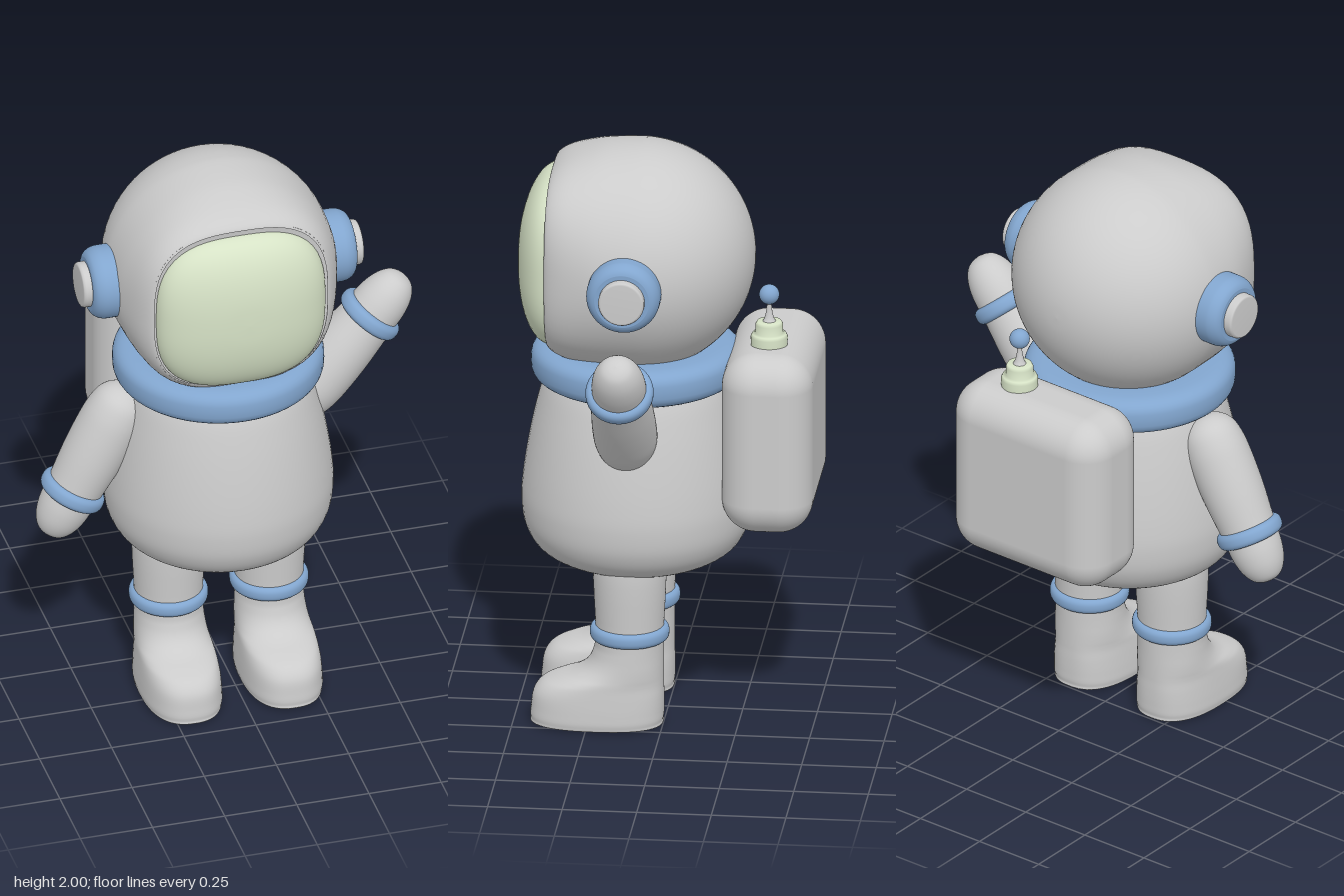
import * as THREE from 'three';
import { RoundedBoxGeometry } from 'three/addons/geometries/RoundedBoxGeometry.js';

const CX = -0.02, CZ = 0.107; // axis of the figure

const grey = new THREE.MeshStandardMaterial({ color: 0xcccccc });
const blue = new THREE.MeshStandardMaterial({ color: 0x82a6cf });
const green = new THREE.MeshStandardMaterial({ color: 0xd6e2c6 });

function mesh(name, geometry, material, parent, x = 0, y = 0, z = 0) {
  const m = new THREE.Mesh(geometry, material);
  m.name = name;
  m.position.set(x, y, z);
  parent.add(m);
  return m;
}

// Turned shape from [radius, height] pairs, bottom to top, smoothed by a spline
function turned(pairs, smooth = 48, around = 64) {
  let pts = pairs.map(([r, y]) => new THREE.Vector2(r, y));
  if (smooth) pts = new THREE.SplineCurve(pts).getPoints(smooth);
  pts.forEach((p) => { p.x = Math.max(p.x, 0); });
  return new THREE.LatheGeometry(pts, around);
}

// Ring with a rounded cross-section, lying flat
function ring(outer, halfWidth, halfHeight, power = 0.8) {
  const pts = [];
  for (let i = 0; i <= 32; i++) {
    const t = (i / 32) * Math.PI * 2 - Math.PI;
    const c = Math.cos(t), s = Math.sin(t);
    pts.push(new THREE.Vector2(
      outer - halfWidth + halfWidth * Math.sign(c) * Math.abs(c) ** power,
      halfHeight * Math.sign(s) * Math.abs(s) ** power));
  }
  return new THREE.LatheGeometry(pts, 64);
}

// Skin over superellipse sections [height, halfX, halfZ, centreZ, exponent]
function loft(rows, steps = 5, around = 64) {
  const pos = [], index = [];
  const count = (rows.length - 1) * steps;
  const at = (i) => rows[Math.min(Math.max(i, 0), rows.length - 1)];
  for (let k = 0; k <= count; k++) {
    const i = Math.min(Math.floor(k / steps), rows.length - 2), t = k / steps - i;
    const [h, a, b, c, n] = rows[0].map((_, d) => {
      const [p, q, r, s] = [at(i - 1)[d], at(i)[d], at(i + 1)[d], at(i + 2)[d]];
      const m0 = (r - p) / 2, m1 = (s - q) / 2;
      return q + t * (m0 + t * (3 * (r - q) - 2 * m0 - m1 + t * (2 * (q - r) + m0 + m1)));
    });
    for (let j = 0; j < around; j++) {
      const u = (j / around) * Math.PI * 2, x = Math.cos(u), z = Math.sin(u);
      const f = (Math.abs(x) ** n + Math.abs(z) ** n) ** (-1 / n);
      pos.push(Math.max(a, 0) * x * f, h, c + Math.max(b, 0) * z * f);
    }
  }
  for (let k = 0; k < count; k++) {
    for (let j = 0; j < around; j++) {
      const p = k * around + j, q = k * around + (j + 1) % around;
      index.push(p, p + around, q, q, p + around, q + around);
    }
  }
  const g = new THREE.BufferGeometry();
  g.setAttribute('position', new THREE.Float32BufferAttribute(pos, 3));
  g.setIndex(index);
  g.computeVertexNormals();
  return g;
}

function addHelmet(root) {
  const helmet = new THREE.Group();
  helmet.name = 'helmet';
  helmet.position.set(CX, 1.61, 0);
  root.add(helmet);

  // Shell: round at the back, squarer towards the face opening
  const shell = [];
  for (let i = 0; i <= 12; i++) {
    const t = (i / 12) * Math.PI / 2, r = 0.39 * Math.sin(t);
    shell.push([0.1 - 0.39 * Math.cos(t), r, r, 0, 2]);
  }
  for (const [z, r, n] of [[0.2, 0.382, 2.1], [0.27, 0.366, 2.3], [0.33, 0.345, 2.55],
    [0.37, 0.322, 2.75], [0.388, 0.3, 2.9], [0.38, 0.28, 2.9], [0.37, 0, 2.9]]) {
    shell.push([z, r, r, 0, n]);
  }
  mesh('helmetShell', loft(shell).rotateX(Math.PI / 2), grey, helmet);

  // Bulging face glass
  const glass = [[0.36, 0.28, 0.278, 0, 2.9]];
  for (let i = 0; i <= 8; i++) {
    const t = (i / 8) * Math.PI / 2, r = Math.cos(t) ** 0.85;
    glass.push([0.38 + 0.12 * Math.sin(t), 0.292 * r, 0.288 * r, 0, 2.9 - 0.7 * i / 8]);
  }
  mesh('visor', loft(glass).rotateX(Math.PI / 2), green, helmet, 0, -0.01, 0);

  // Ear pieces
  for (const side of [-1, 1]) {
    const ear = new THREE.Group();
    ear.name = side > 0 ? 'leftEarpiece' : 'rightEarpiece';
    ear.position.set(0, -0.005, 0.11);
    ear.rotation.z = -side * Math.PI / 2;
    helmet.add(ear);
    mesh('earPad', turned([[0.123, 0.33], [0.124, 0.4], [0.121, 0.425], [0.11, 0.445],
      [0.095, 0.455], [0.08, 0.456], [0, 0.456]]), blue, ear);
    mesh('earCap', turned([[0.077, 0.44], [0.077, 0.476], [0.074, 0.483], [0.068, 0.486],
      [0, 0.486]], 0), grey, ear);
  }
}

function addArm(root, name, cuffX, cuffY, dx, dy) {
  const reach = 0.34; // shoulder to cuff
  const arm = new THREE.Group();
  arm.name = name;
  arm.position.set(cuffX - dx * reach, cuffY - dy * reach, 0.11);
  arm.rotation.z = Math.atan2(-dx, dy);
  root.add(arm);
  mesh('sleeveAndHand', turned([[0, -0.09], [0.05, -0.077], [0.088, -0.04], [0.104, 0.02],
    [0.107, 0.1], [0.104, 0.2], [0.096, 0.3], [0.092, 0.35], [0.088, 0.41], [0.076, 0.46],
    [0.055, 0.497], [0.03, 0.514], [0, 0.52]], 72), grey, arm);
  mesh('wristCuff', ring(0.114, 0.028, 0.028), blue, arm, 0, reach, 0);
}

function addLeg(root, side) {
  const leg = new THREE.Group();
  leg.name = side > 0 ? 'leftLeg' : 'rightLeg';
  leg.position.set(CX + side * 0.174, 0, 0);
  root.add(leg);
  // Boot and trouser leg in one skin
  mesh('bootAndLeg', loft([
    [0.004, 0, 0, 0.22, 2.5], [0.004, 0.115, 0.2, 0.222, 2.5], [0.02, 0.133, 0.221, 0.222, 2.5],
    [0.06, 0.134, 0.222, 0.22, 2.5], [0.11, 0.131, 0.218, 0.216, 2.5],
    [0.145, 0.128, 0.204, 0.203, 2.4], [0.165, 0.126, 0.182, 0.181, 2.3],
    [0.185, 0.123, 0.152, 0.151, 2.2], [0.215, 0.12, 0.13, 0.129, 2.1],
    [0.26, 0.117, 0.118, 0.117, 2], [0.33, 0.115, 0.114, 0.113, 2],
    [0.62, 0.115, 0.114, 0.113, 2], [0.63, 0, 0, 0.113, 2]]), grey, leg);
  mesh('legCuff', ring(0.133, 0.027, 0.027), blue, leg, 0, 0.328, 0.113);
}

function addBackpack(root) {
  const pack = new THREE.Group();
  pack.name = 'backpack';
  root.add(pack);
  mesh('packBody', new RoundedBoxGeometry(0.632, 0.63, 0.305, 8, 0.115), grey, pack,
    CX, 1.03, -0.352);
  const antenna = new THREE.Group();
  antenna.name = 'antenna';
  antenna.position.set(0.09, 0, -0.348);
  pack.add(antenna);
  mesh('antennaBase', turned([[0.061, 1.32], [0.062, 1.372], [0.057, 1.382], [0.046, 1.385],
    [0.046, 1.415], [0.041, 1.425], [0, 1.427]], 0, 40), green, antenna);
  mesh('antennaStem', turned([[0.026, 1.42], [0.016, 1.437], [0.009, 1.47], [0.008, 1.51]], 16, 24),
    grey, antenna);
  mesh('antennaBall', new THREE.SphereGeometry(0.034, 32, 20), blue, antenna, 0, 1.52, 0);
}

export function createModel() {
  const root = new THREE.Group();
  root.name = 'spaceExplorer';

  // Pear-shaped suit and neck ring
  mesh('torso', turned([[0, 0.508], [0.14, 0.518], [0.25, 0.543], [0.33, 0.587], [0.372, 0.655],
    [0.385, 0.74], [0.38, 0.83], [0.362, 0.95], [0.337, 1.07], [0.308, 1.17], [0.27, 1.23],
    [0, 1.25]], 80), grey, root, CX, 0, CZ);
  mesh('collar', ring(0.354, 0.09, 0.066, 0.7), blue, root, CX, 1.235, CZ);

  addHelmet(root);
  addArm(root, 'leftArm', 0.505, 1.307, 0.647, 0.762);
  addArm(root, 'rightArm', -0.525, 0.79, -0.466, -0.885);
  for (const side of [-1, 1]) addLeg(root, side);
  addBackpack(root);
  return root;
}
